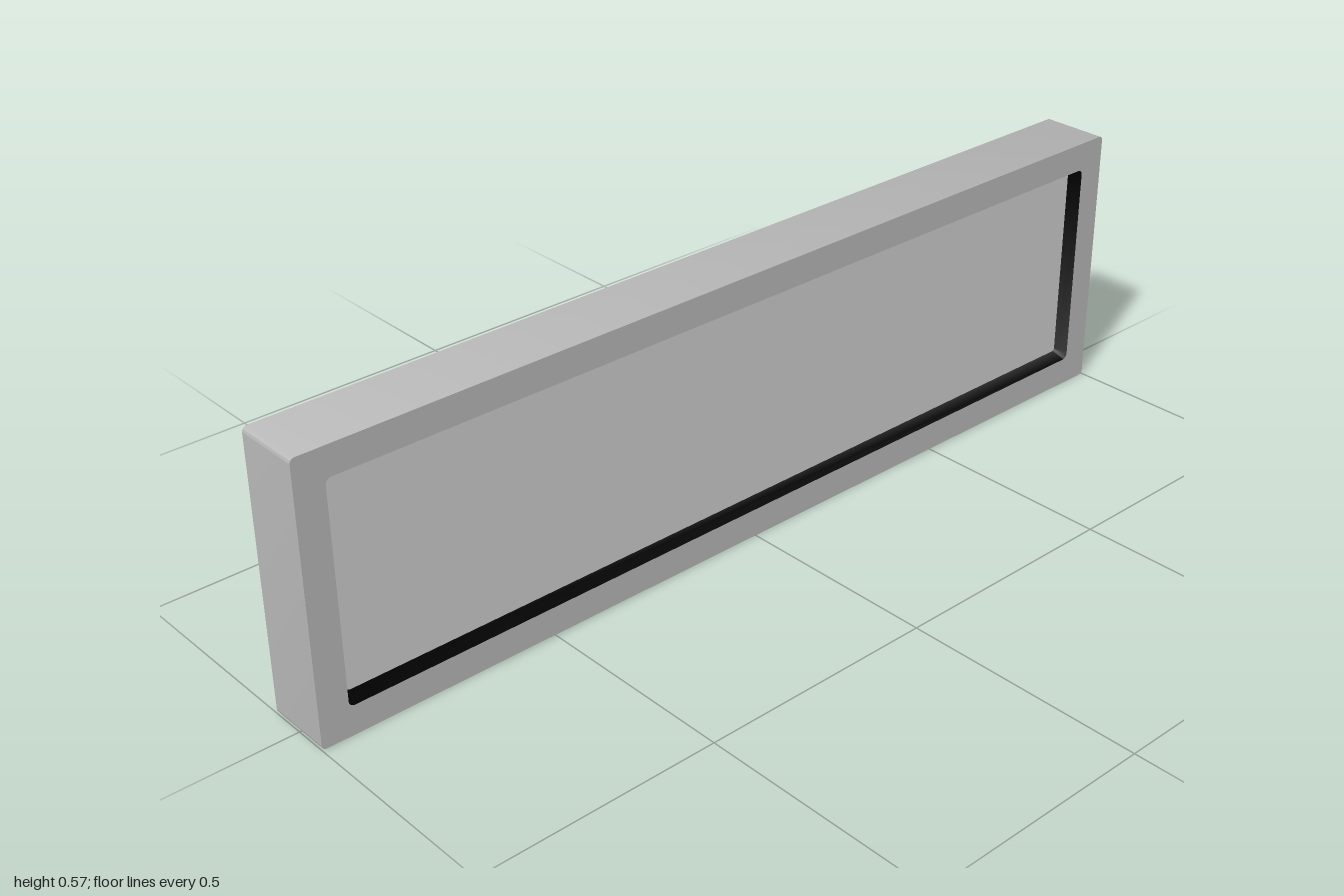
import * as THREE from 'three';
import { toCreasedNormals } from 'three/addons/utils/BufferGeometryUtils.js';

const W = 2, H = 0.568, D = 0.14;      // outer size
const BORDER = 0.06;                   // frame width
const TRIM = 0.014, RECESS = 0.025;    // sloped trim: width and depth

// Rounded rectangle lying `inset` inside the outer outline
function outline(inset, r) {
  const x = W / 2 - inset, y = H / 2 - inset;
  const s = new THREE.Shape();
  s.absarc(x - r, y - r, r, 0, Math.PI / 2);
  s.absarc(-x + r, y - r, r, Math.PI / 2, Math.PI);
  s.absarc(-x + r, -y + r, r, Math.PI, Math.PI * 1.5);
  s.absarc(x - r, -y + r, r, Math.PI * 1.5, Math.PI * 2);
  s.closePath();
  return s;
}

function slab(shape, depth) {
  const g = new THREE.ExtrudeGeometry(shape, { depth, bevelEnabled: false, curveSegments: 6 });
  g.translate(0, 0, -depth / 2);
  return toCreasedNormals(g, 0.6);
}

// Sloping band from the frame opening back to the panel
function trimBand() {
  const a = outline(BORDER, 0.012).getPoints(6);
  const b = outline(BORDER + TRIM, 0.006).getPoints(6);
  const pos = [], index = [];
  a.forEach((p, i) => {
    pos.push(p.x, p.y, D / 2, b[i].x, b[i].y, D / 2 - RECESS);
    if (i < a.length - 1) {
      const k = i * 2;
      index.push(k, k + 2, k + 1, k + 2, k + 3, k + 1);
    }
  });
  const g = new THREE.BufferGeometry();
  g.setAttribute('position', new THREE.Float32BufferAttribute(pos, 3));
  g.setIndex(index);
  return toCreasedNormals(g, 0.6);
}

export function createModel() {
  const model = new THREE.Group();
  model.name = 'framedPanel';
  const add = (name, geometry, color) => {
    const mesh = new THREE.Mesh(geometry, new THREE.MeshStandardMaterial({ color }));
    mesh.name = name;
    mesh.position.y = H / 2;
    model.add(mesh);
    return mesh;
  };

  // Outer frame with its opening
  const frameShape = outline(0, 0.01);
  frameShape.holes.push(outline(BORDER, 0.012));
  add('frame', slab(frameShape, D), 0xb7b7b7);

  // Recessed panel, seen from both faces
  add('panel', slab(outline(BORDER + TRIM, 0.006), D - 2 * RECESS), 0xcccccc);

  // Black trim on the front and the back
  const band = trimBand();
  add('frontTrim', band, 0x000000);
  add('backTrim', band, 0x000000).rotation.y = Math.PI;

  return model;
}
